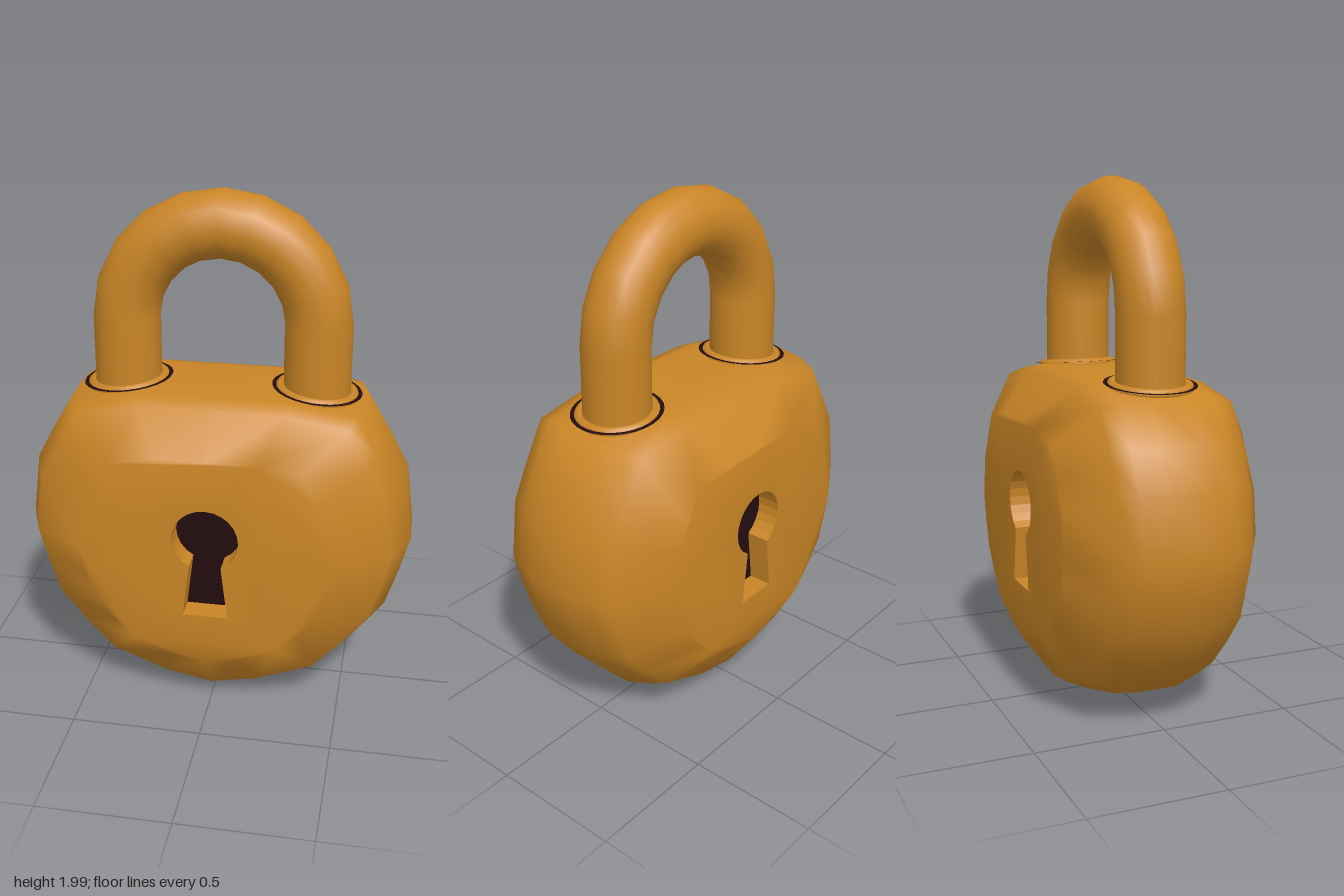
import * as THREE from 'three';
import { mergeGeometries, mergeVertices } from 'three/addons/utils/BufferGeometryUtils.js';

const brass = new THREE.MeshStandardMaterial({ color: 0xc98526 });
brass.name = 'brass';
const dark = new THREE.MeshStandardMaterial({ color: 0x220c0f, side: THREE.DoubleSide });
dark.name = 'dark hollow';

const FACE_Z = 0.375, DEPTH = 0.09, MID_Y = 0.68;

// Right half of the body outline, bottom to top
const half = [[0, 0.01], [0.2, 0.05], [0.43, 0.14], [0.55, 0.27], [0.66, 0.41], [0.71, 0.57],
  [0.745, 0.71], [0.715, 0.94], [0.64, 1.08], [0.55, 1.23], [0.3, 1.27], [0, 1.27]];
const outline = [...half, ...half.slice(1, -1).reverse().map(([x, y]) => [-x, y])];

// Outline shrunk about the middle, with separate amounts sideways, up and down
const shrink = (sx, up, down) => outline.map(([x, y]) =>
  [x * sx, MID_Y + (y - MID_Y) * (y > MID_Y ? up : down)]);

// Skin between successive closed rings { pts, z }
function loft(rings) {
  const pos = [], index = [], n = rings[0].pts.length;
  rings.forEach(({ pts, z }) => pts.forEach(([x, y]) => pos.push(x, y, z)));
  for (let r = 0; r < rings.length - 1; r++) {
    for (let i = 0; i < n; i++) {
      const a = r * n + i, b = r * n + (i + 1) % n;
      index.push(a, b, b + n, a, b + n, a + n);
    }
  }
  const g = new THREE.BufferGeometry();
  g.setAttribute('position', new THREE.Float32BufferAttribute(pos, 3));
  g.setIndex(index);
  return g;
}

// Keyhole outline, counter-clockwise from the bottom left
function keyholePoints() {
  const pts = [[-0.085, 0.46], [0.085, 0.46]];
  const start = -Math.PI / 2 + 0.5, sweep = Math.PI * 2 - 1;
  for (let i = 0; i <= 20; i++) {
    const a = start + sweep * i / 20;
    pts.push([0.125 * Math.cos(a), 0.78 + 0.125 * Math.sin(a)]);
  }
  return pts;
}

const toVectors = pts => pts.map(([x, y]) => new THREE.Vector2(x, y));

function add(parent, name, geometry, material) {
  const mesh = new THREE.Mesh(geometry, material);
  mesh.name = name;
  parent.add(mesh);
  return mesh;
}

export function createModel() {
  const model = new THREE.Group();
  model.name = 'padlock';
  const keyhole = keyholePoints();

  // Body: rounded skin closed by a pierced face at front and back
  const steps = [[0.08, 1, 1, 1], [0.18, 0.95, 1, 0.95], [0.25, 0.91, 0.96, 0.9], [FACE_Z, 0.64, 0.71, 0.64]];
  const front = steps.map(([z, ...s]) => ({ pts: shrink(...s), z }));
  const back = front.map(({ pts, z }) => ({ pts, z: -z })).reverse();
  const faceShape = new THREE.Shape(toVectors(front[3].pts));
  faceShape.holes.push(new THREE.Path(toVectors(keyhole)));
  const face = new THREE.ShapeGeometry(faceShape).translate(0, 0, FACE_Z);
  face.deleteAttribute('uv');
  face.deleteAttribute('normal');
  const body = mergeVertices(mergeGeometries([loft([...back, ...front]), face, face.clone().rotateY(Math.PI)]), 1e-4);
  body.computeVertexNormals();
  add(model, 'body', body, brass);

  // Keyholes: recessed walls with a dark floor
  for (const side of ['front', 'back']) {
    const hole = new THREE.Group();
    hole.name = side + 'Keyhole';
    const walls = loft([{ pts: keyhole, z: FACE_Z }, { pts: keyhole, z: FACE_Z - DEPTH }]).toNonIndexed();
    walls.computeVertexNormals();
    add(hole, 'keyholeWalls', walls, brass);
    const floor = new THREE.ShapeGeometry(new THREE.Shape(toVectors(keyhole)));
    add(hole, 'keyholeFloor', floor, dark).position.z = FACE_Z - DEPTH;
    if (side === 'back') hole.rotation.y = Math.PI;
    model.add(hole);
  }

  // Shackle: half ring on two straight legs
  const shackle = new THREE.Group();
  shackle.name = 'shackle';
  add(shackle, 'bow', new THREE.TorusGeometry(0.36, 0.126, 20, 10, Math.PI), brass).position.y = 1.514;
  for (const s of [1, -1]) {
    const leg = new THREE.CylinderGeometry(0.126, 0.126, 0.36, 20, 1, true);
    add(shackle, s > 0 ? 'leftLeg' : 'rightLeg', leg, brass).position.set(s * 0.36, 1.334, 0);

    // Collar and the narrow gap around it, tilted to the shoulder
    const collar = new THREE.Group();
    collar.name = s > 0 ? 'leftCollar' : 'rightCollar';
    collar.position.set(s * 0.36, 1.258, 0);
    collar.rotation.z = -s * 0.1;
    add(collar, 'rim', new THREE.TorusGeometry(0.138, 0.02, 8, 28).rotateX(Math.PI / 2), brass);
    add(collar, 'gap', new THREE.RingGeometry(0.15, 0.17, 28).rotateX(-Math.PI / 2), dark).position.y = 0.008;
    shackle.add(collar);
  }
  model.add(shackle);
  return model;
}
